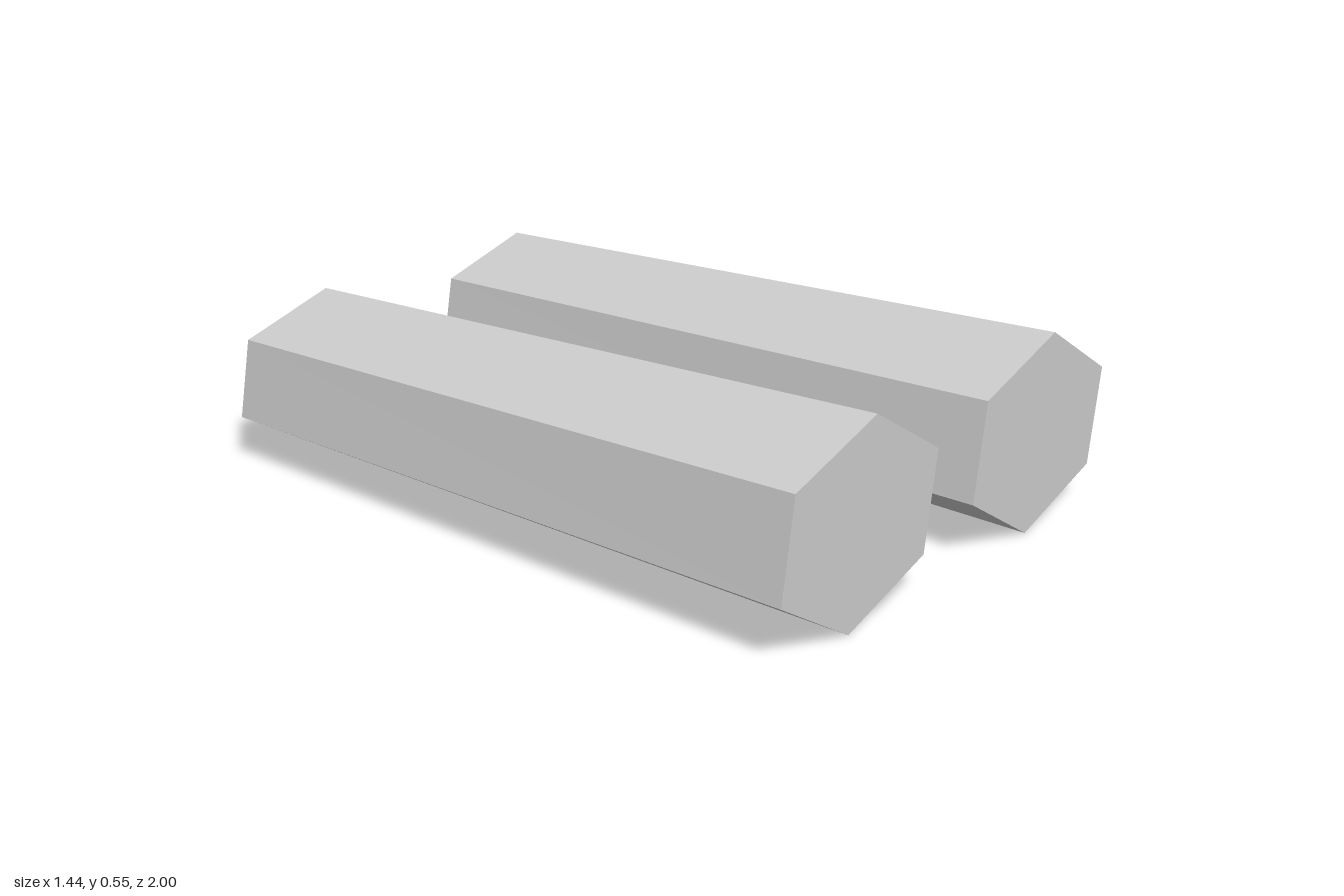
import * as THREE from 'three';

const LENGTH = 2;
const HALF_W = 0.341, HALF_H = 0.277; // hexagon radii at the front end
const BACK_W = 0.945, BACK_H = 0.825; // taper towards the back end

// Twisted hexagonal bar along z, resting on y = 0, tapering to the back
function barGeometry() {
  const geo = new THREE.CylinderGeometry(1, 1, LENGTH, 6, 1, false, THREE.MathUtils.degToRad(52.5));
  geo.rotateX(Math.PI / 2);
  geo.scale(HALF_W, HALF_H, 1);
  geo.computeBoundingBox();
  geo.translate(0, -geo.boundingBox.min.y, 0);

  const pos = geo.attributes.position;
  for (let i = 0; i < pos.count; i++) {
    if (pos.getZ(i) < 0) {
      pos.setX(i, pos.getX(i) * BACK_W);
      pos.setY(i, pos.getY(i) * BACK_H);
    }
  }
  const flat = geo.toNonIndexed();
  flat.computeVertexNormals();
  return flat;
}

export function createModel() {
  const model = new THREE.Group();
  model.name = 'hexagonalBars';

  const grey = new THREE.MeshStandardMaterial({ color: 0xcccccc });
  grey.name = 'lightGrey';
  grey.flatShading = true;

  // Two identical bars side by side
  const geometry = barGeometry();
  for (const [name, x] of [['leftBar', 0.403], ['rightBar', -0.403]]) {
    const bar = new THREE.Mesh(geometry, grey);
    bar.name = name;
    bar.position.x = x;
    model.add(bar);
  }
  return model;
}
